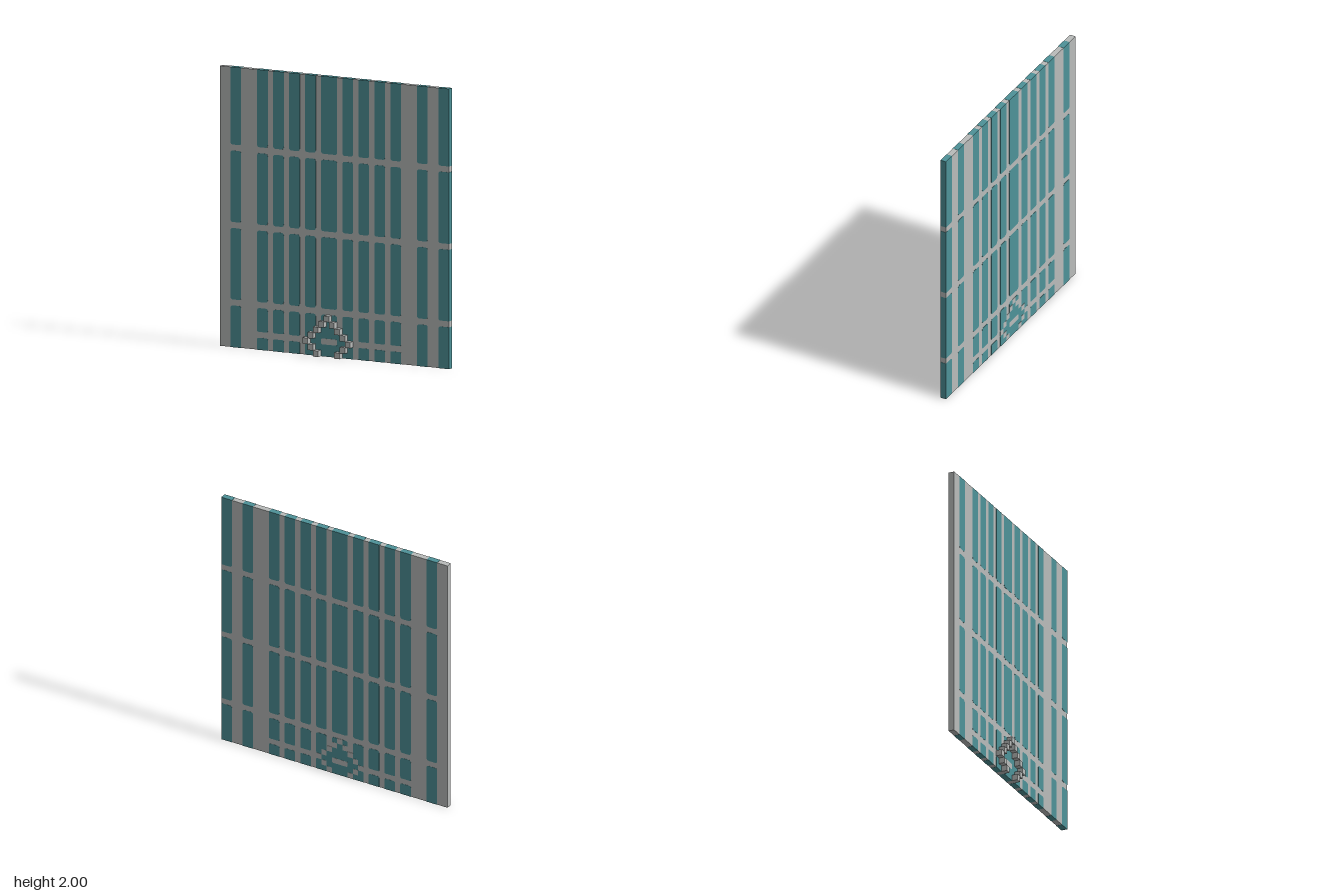
import * as THREE from 'three';

const U = 2 / 47;            // one grid cell
const COLS = 43, ROWS = 47;  // slab size in cells
const PROUD = 0.001;         // inlays stand this far out of the slab

const grey = new THREE.MeshStandardMaterial({ color: 0xb9bcbb });
grey.name = 'lightGrey';
const teal = new THREE.MeshStandardMaterial({ color: 0x4e9298 });
teal.name = 'teal';

const cx = c => (c - COLS / 2) * U;

// Rectangle in cells, with one radius for each corner (in cells)
function plate(name, material, c0, c1, r0, r1, out, { bl = 0, br = 0, tr = 0, tl = 0 } = {}) {
  // push out slightly where the plate reaches the rim of the slab
  const x0 = cx(c0) - (c0 === 0 ? out : 0), x1 = cx(c1) + (c1 === COLS ? out : 0);
  const y0 = r0 * U, y1 = r1 * U + (r1 === ROWS ? out : 0);
  const base = r0 === 0 ? y0 - out : y0;
  const s = new THREE.Shape();
  s.moveTo(x0 + bl * U, base);
  s.lineTo(x1 - br * U, base);
  if (br) s.quadraticCurveTo(x1, base, x1, base + br * U);
  s.lineTo(x1, y1 - tr * U);
  if (tr) s.quadraticCurveTo(x1, y1, x1 - tr * U, y1);
  s.lineTo(x0 + tl * U, y1);
  if (tl) s.quadraticCurveTo(x0, y1, x0, y1 - tl * U);
  s.lineTo(x0, base + bl * U);
  if (bl) s.quadraticCurveTo(x0, base, x0 + bl * U, base);
  const geo = new THREE.ExtrudeGeometry(s, { depth: U + 2 * out, bevelEnabled: false, curveSegments: 4 });
  geo.translate(0, 0, -U - out);
  const mesh = new THREE.Mesh(geo, material);
  mesh.name = name;
  return mesh;
}

export function createModel() {
  const model = new THREE.Group();
  model.name = 'panelWall';

  // Grey slab
  const slab = new THREE.Mesh(new THREE.BoxGeometry(COLS * U, ROWS * U, U), grey);
  slab.position.set(0, 1, -U / 2);
  slab.name = 'slab';
  model.add(slab);

  // Teal inlays running through the slab, rounded beside the cross bands
  const panels = new THREE.Group();
  panels.name = 'panels';
  const columns = [[2, 4], [7, 9], [10, 12], [13, 15], [16, 18], [19, 22], [23, 25],
    [26, 28], [29, 31], [32, 34], [37, 39], [41, 43]];
  const upper = [[8, 20], [21, 33], [34, 47]];
  for (const [c0, c1] of columns) {
    const split = c0 >= 7 && c1 <= 34;
    const rows = [...(split ? [[0, 2], [3, 7]] : [[0, 7]]), ...upper];
    for (const [r0, r1] of rows) {
      const bottom = r0 === 0 ? 0 : r0 === 3 ? 0.28 : 0.45;
      const top = r1 === ROWS ? 0 : r1 === 2 ? 0.28 : 0.45;
      const right = c1 === COLS ? 0 : 1;
      panels.add(plate('panel', teal, c0, c1, r0, r1, PROUD,
        { bl: bottom, br: bottom * right, tr: top * right, tl: top }));
    }
  }
  model.add(panels);

  // Emblem: teal field, grey bar and a ring of raised cubes
  const emblem = new THREE.Group();
  emblem.name = 'emblem';
  const mid = 20;
  const reach = [2, 3, 4, 3, 2, 1, 0]; // distance of the ring from its middle, row by row
  reach.forEach((d, r) => {
    if (d > 0) emblem.add(plate('emblemField', teal, mid - d + 1, mid + d, r, r + 1, PROUD));
    for (const side of d ? [-1, 1] : [1]) {
      const depth = 2 * U + 2 * PROUD;
      const cube = new THREE.Mesh(new THREE.BoxGeometry(U, U + (r === 0 ? PROUD : 0), depth), grey);
      cube.position.set(cx(mid + side * d + 0.5), (r + 0.5) * U, U - depth / 2);
      cube.name = 'emblemCube';
      emblem.add(cube);
    }
  });
  const q = 0.28;
  emblem.add(plate('emblemBar', grey, 19, 22, 2, 3, 2 * PROUD, { bl: q, br: q, tr: q, tl: q }));
  model.add(emblem);

  return model;
}
